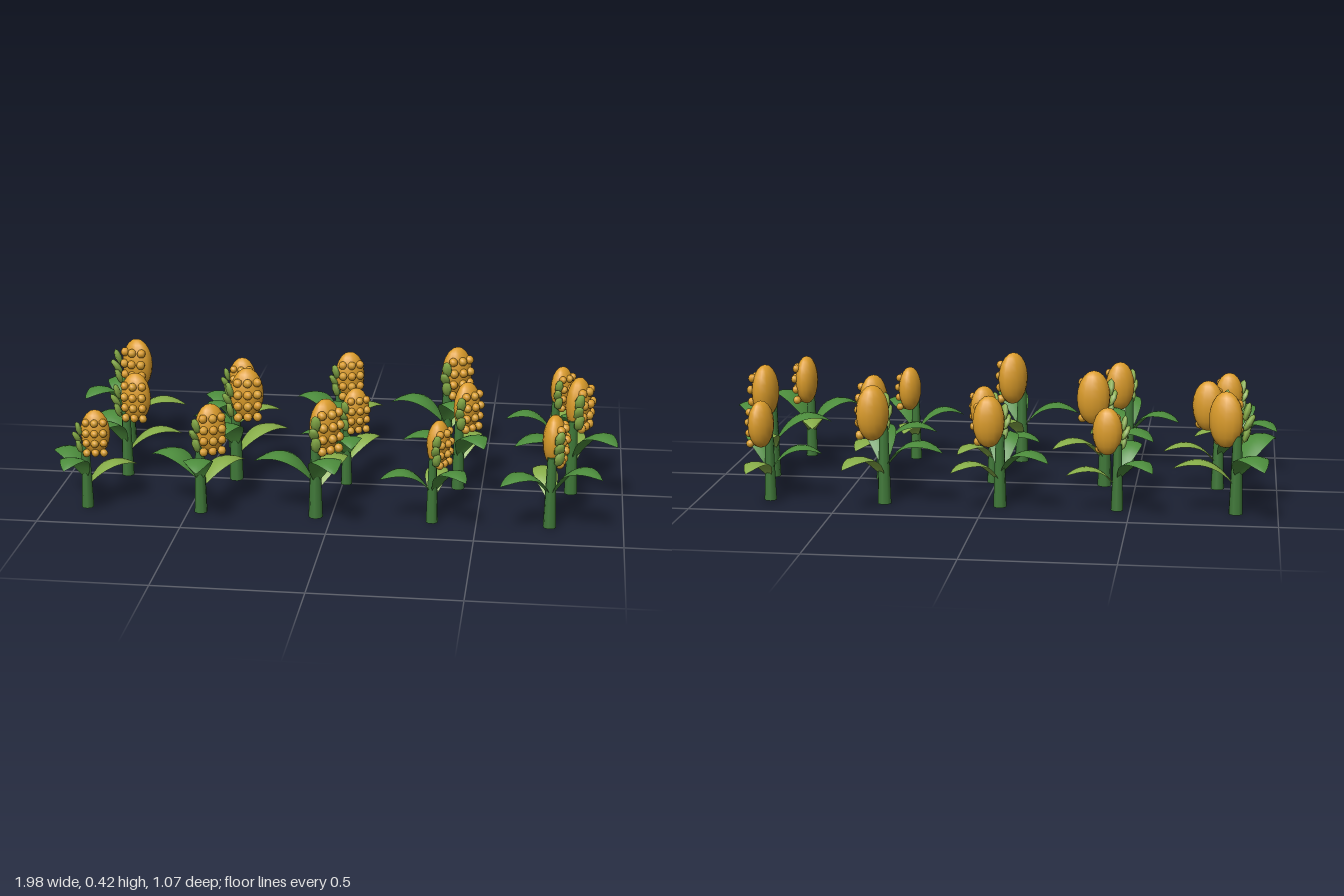
import * as THREE from 'three';

const mat = (name, color, side = THREE.FrontSide) => {
  const m = new THREE.MeshStandardMaterial({ color, side });
  m.name = name;
  return m;
};

// Arching leaf blade growing along +x: a plane bent along a curved spine
function leafGeometry(length, halfWidth, base, lift, tip) {
  const spine = new THREE.QuadraticBezierCurve(
    new THREE.Vector2(0.008, base), new THREE.Vector2(length * 0.45, lift), new THREE.Vector2(length, tip));
  const geo = new THREE.PlaneGeometry(1, 2, 12, 4);
  const pos = geo.attributes.position;
  for (let i = 0; i < pos.count; i++) {
    const t = pos.getX(i) + 0.5, v = pos.getY(i);
    const p = spine.getPoint(t);
    const w = 0.006 * (1 - t) + halfWidth * Math.pow(Math.max(0, Math.sin(Math.PI * Math.pow(t, 1.05))), 0.8);
    pos.setXYZ(i, p.x, p.y - 0.22 * w * v * v, -v * w);
  }
  geo.computeVertexNormals();
  return geo;
}

export function createModel() {
  const stemGreen = mat('stem green', 0x3f7838);
  const leafGreen = mat('leaf green', 0x4c8c3c, THREE.DoubleSide);
  const lightGreen = mat('light leaf green', 0x86ac48, THREE.DoubleSide);
  const gold = mat('cob gold', 0xdb9c2a);
  const kernelGold = mat('kernel gold', 0xd9a030);

  const stemGeo = new THREE.CylinderGeometry(0.016, 0.025, 0.27, 8);
  stemGeo.translate(0, 0.135, 0);
  const cob = { x: 0.042, y: 0.322, rx: 0.06, ry: 0.097, rz: 0.043 };
  const cobGeo = new THREE.SphereGeometry(1, 14, 10);
  cobGeo.scale(cob.rx, cob.ry, cob.rz);
  const kernelGeo = new THREE.SphereGeometry(0.0165, 8, 6);
  const huskGeo = new THREE.SphereGeometry(1, 6, 4);
  huskGeo.scale(0.013, 0.034, 0.02);

  // Lower light leaf and two upper leaves, each with its heading in degrees
  const leaves = [
    { name: 'lowerLeaf', angle: 23, geo: leafGeometry(0.218, 0.043, 0.1, 0.24, 0.155), material: lightGreen },
    { name: 'backLeaf', angle: 133, geo: leafGeometry(0.216, 0.052, 0.13, 0.29, 0.19), material: leafGreen },
    { name: 'upperLeaf', angle: 251, geo: leafGeometry(0.212, 0.052, 0.13, 0.32, 0.225), material: leafGreen },
  ];

  function buildPlant() {
    const plant = new THREE.Group();
    const add = (name, geo, material, x = 0, y = 0, z = 0) => {
      const mesh = new THREE.Mesh(geo, material);
      mesh.name = name;
      mesh.position.set(x, y, z);
      plant.add(mesh);
      return mesh;
    };
    add('stem', stemGeo, stemGreen);
    for (const l of leaves) {
      add(l.name, l.geo, l.material).rotation.y = THREE.MathUtils.degToRad(l.angle);
    }
    add('cob', cobGeo, gold, cob.x, cob.y, 0);

    // Kernels in a grid over the front of the cob
    for (let row = 0; row < 4; row++) {
      for (let col = -1; col <= 1; col++) {
        const dx = col * 0.035, y = 0.243 + row * 0.043;
        const inside = 1 - (dx / cob.rx) ** 2 - ((y - cob.y) / cob.ry) ** 2;
        const z = cob.rz * Math.sqrt(Math.max(0.4, inside)) + 0.002;
        add('kernel', kernelGeo, (row + col) % 2 ? kernelGold : gold, cob.x + dx, y, z);
      }
    }

    // Small husk leaves up the side of the cob
    for (let i = 0; i < 3; i++) {
      const husk = add('huskLeaf', huskGeo, lightGreen, -0.022 - 0.008 * (i % 2), 0.275 + i * 0.037, 0.032);
      husk.rotation.set(0.2, 0.5, i % 2 ? 0.5 : 0.2);
    }
    return plant;
  }

  // Three staggered rows of five plants, turning and varying in size in a pattern
  const model = new THREE.Group();
  model.name = 'cornField';
  const sizes = [1, 0.85, 0.93];
  for (let row = 0; row < 3; row++) {
    for (let col = 0; col < 5; col++) {
      const plant = buildPlant();
      plant.name = 'cornPlant';
      plant.position.set(-0.858 + col * 0.402 + (row === 1 ? 0.067 : 0), 0, (row - 1) * 0.34);
      plant.rotation.y = THREE.MathUtils.degToRad(-18 + col * 18 + row * 13);
      plant.scale.setScalar(sizes[(col - row + 3) % 3]);
      model.add(plant);
    }
  }
  return model;
}
